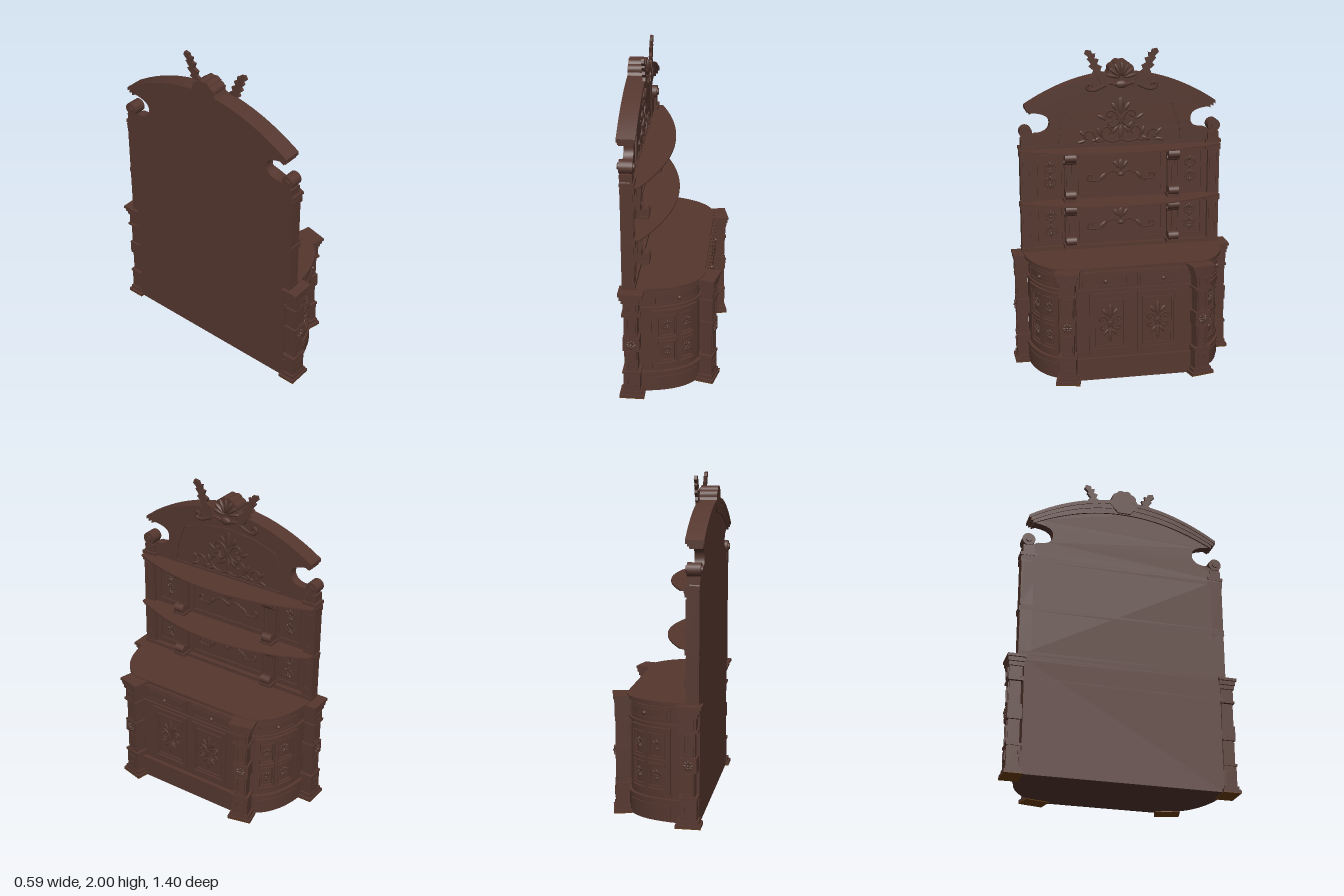
import * as THREE from 'three';
import { toCreasedNormals } from 'three/addons/utils/BufferGeometryUtils.js';

const wood = new THREE.MeshStandardMaterial({ color: 0x55372f });
wood.name = 'darkWood';
const footWood = new THREE.MeshStandardMaterial({ color: 0x6b3f08 });
footWood.name = 'amberWood';

// Built facing local +z (x across, y up); the finished group is turned to face +x.
function add(parent, name, geo, x = 0, y = 0, z = 0, mat = wood) {
  const m = new THREE.Mesh(geo, mat);
  m.name = name;
  m.position.set(x, y, z);
  parent.add(m);
  return m;
}
const box = (p, name, w, h, d, x, y, z, mat) => add(p, name, new THREE.BoxGeometry(w, h, d), x, y, z, mat);
const group = (p, name, x = 0, y = 0, z = 0, ry = 0) => {
  const g = new THREE.Group();
  g.name = name;
  g.position.set(x, y, z);
  g.rotation.y = ry;
  p.add(g);
  return g;
};
const shapeOf = pts => new THREE.Shape(pts.map(p => new THREE.Vector2(p[0], p[1])));
const extrude = (shape, depth) =>
  toCreasedNormals(new THREE.ExtrudeGeometry(shape, { depth, bevelEnabled: false, curveSegments: 14 }), 0.5);
const slab = (p, name, pts, z0, z1) => add(p, name, extrude(shapeOf(pts), z1 - z0), 0, 0, z0);
// plan outline of [x, z] points raised from y0 to y1
const plan = (p, name, pts, y0, y1) =>
  add(p, name, extrude(shapeOf(pts.map(([x, z]) => [x, -z])), y1 - y0).rotateX(-Math.PI / 2), 0, y0, 0);
function frame(p, name, w, h, t, d, x, y, z) {
  const rect = (a, b) => [[-a, -b], [a, -b], [a, b], [-a, b]];
  const s = shapeOf(rect(w / 2, h / 2));
  s.holes.push(shapeOf(rect(w / 2 - t, h / 2 - t)));
  return add(p, name, extrude(s, d), x, y, z);
}

// --- carved ornament ---
function tubes(p, pts, r) {
  for (const s of [1, -1]) {
    const c = new THREE.CatmullRomCurve3(pts.map(([x, y]) => new THREE.Vector3(s * x, y, 0)));
    add(p, 'carvedScroll', new THREE.TubeGeometry(c, 22, r, 5));
  }
}
function leaf(p, x, y, w, h, rot = 0, d = 0.012) {
  const m = add(p, 'carvedLeaf', new THREE.SphereGeometry(0.5, 8, 6), x, y, 0);
  m.scale.set(w, h, d);
  m.rotation.z = rot;
}
function spiral(cx, cy, r, a0, dir) {
  return Array.from({ length: 8 }, (_, i) => {
    const a = a0 + dir * i * 0.75, q = r * (1 - i * 0.1);
    return [cx + q * Math.cos(a), cy + q * Math.sin(a)];
  });
}
function fleur(p, w, h, x, y, z, ry = 0) {
  const g = group(p, 'fleurOrnament', x, y, z, ry), r = Math.min(w, h) * 0.04;
  leaf(g, 0, h * 0.3, w * 0.2, h * 0.4);
  leaf(g, 0, -h * 0.32, w * 0.16, h * 0.36);
  leaf(g, 0, 0, w * 0.3, h * 0.1);
  for (const s of [1, -1]) {
    leaf(g, s * w * 0.2, h * 0.27, w * 0.14, h * 0.22, -s * 0.6);
    leaf(g, s * w * 0.18, -h * 0.25, w * 0.12, h * 0.2, s * 0.6);
  }
  tubes(g, [[0, -h * 0.1], [w * 0.15, h * 0.12], ...spiral(w * 0.34, h * 0.1, w * 0.14, 2.2, -1)], r);
  tubes(g, [[0, h * 0.05], [w * 0.14, -h * 0.14], ...spiral(w * 0.32, -h * 0.1, w * 0.13, -2.2, 1)], r);
  return g;
}
function swag(p, y, z) {
  const g = group(p, 'swagOrnament', 0, y, z);
  tubes(g, [[0, -0.03], [0.05, -0.005], [0.09, -0.02], [0.13, -0.06], [0.18, -0.065], ...spiral(0.195, -0.04, 0.024, -0.9, 1)], 0.006);
  leaf(g, 0, 0.035, 0.035, 0.07);
  leaf(g, 0, -0.03, 0.05, 0.025);
  for (const s of [1, -1]) {
    leaf(g, s * 0.028, 0.035, 0.026, 0.055, -s * 0.6);
    leaf(g, s * 0.12, -0.04, 0.025, 0.06, s * 0.8);
  }
}

// --- bowed cabinet outline ---
const v2 = (x, y) => new THREE.Vector2(x, y);
const bow = new THREE.CubicBezierCurve(v2(0.625, -0.16), v2(0.61, 0.02), v2(0.54, 0.15), v2(0.42, 0.19));
function bowPoint(t, off, side = 1) {
  const p = bow.getPoint(t), d = bow.getTangent(t);
  return [side * (p.x + d.y * off), p.y - d.x * off];
}
const bowLine = (t0, t1, off, side, n = 18) =>
  Array.from({ length: n + 1 }, (_, i) => bowPoint(t0 + (t1 - t0) * i / n, off, side));
function outline(off) {
  const r = bowLine(0, 1, off, 1), l = bowLine(0, 1, off, -1).reverse();
  return [[r[0][0], -0.27], ...r, ...l, [l[l.length - 1][0], -0.27]];
}
const band = (p, name, side, t0, t1, o0, o1, y0, y1) =>
  plan(p, name, [...bowLine(t0, t1, o1, side, 10), ...bowLine(t0, t1, o0, side, 10).reverse()], y0, y1);
function bowFrame(p, name, side, t0, t1, y0, y1, bt, by, o0, o1) {
  band(p, name, side, t0, t1, o0, o1, y0, y0 + by);
  band(p, name, side, t0, t1, o0, o1, y1 - by, y1);
  band(p, name, side, t0, t0 + bt, o0, o1, y0 + by, y1 - by);
  band(p, name, side, t1 - bt, t1, o0, o1, y0 + by, y1 - by);
}

// Corner post, carved on its +z face
function post(p, x, z, ry) {
  const g = group(p, 'cornerPost', x, 0, z, ry);
  box(g, 'footPad', 0.15, 0.004, 0.11, 0, 0.002, 0, footWood);
  const tiers = [[0.15, 0.11, 0.004, 0.022], [0.125, 0.092, 0.022, 0.045], [0.1, 0.08, 0.045, 0.17],
    [0.112, 0.088, 0.17, 0.185], [0.076, 0.068, 0.185, 0.57], [0.1, 0.084, 0.33, 0.42], [0.112, 0.088, 0.565, 0.58],
    [0.09, 0.078, 0.58, 0.655], [0.11, 0.09, 0.655, 0.68], [0.13, 0.1, 0.68, 0.705], [0.15, 0.11, 0.705, 0.722]];
  for (const [w, d, y0, y1] of tiers) box(g, 'postTier', w, y1 - y0, d, 0, (y0 + y1) / 2, 0);
  for (const y of [0.115, 0.618]) frame(g, 'postSquare', 0.06, 0.06, 0.012, 0.008, 0, y, 0.038);
  for (const [y, h] of [[0.258, 0.13], [0.495, 0.13]]) frame(g, 'postPanel', 0.06, h, 0.01, 0.008, 0, y, 0.033);
  const r = group(g, 'postRosette', 0, 0.375, 0.045);
  for (let i = 0; i < 8; i++) leaf(r, 0.02 * Math.cos(i * Math.PI / 4), 0.02 * Math.sin(i * Math.PI / 4), 0.014, 0.024, i * Math.PI / 4 - Math.PI / 2);
  leaf(r, 0, 0, 0.02, 0.02, 0, 0.025);
}
const knob = (p, x, y, z) => add(p, 'knob', new THREE.SphereGeometry(0.013, 10, 8), x, y, z);
const roll = (p, name, r, len, x, y, z, axis = 'x') => {
  const geo = new THREE.CylinderGeometry(r, r, len, 18);
  return add(p, name, axis === 'x' ? geo.rotateZ(Math.PI / 2) : geo.rotateX(Math.PI / 2), x, y, z);
};

function buildBase(g) {
  plan(g, 'cabinetBody', outline(-0.025), 0.006, 0.7);
  plan(g, 'plinth', outline(-0.01), 0.004, 0.12);
  plan(g, 'plinthMoulding', outline(-0.003), 0.12, 0.14);
  plan(g, 'drawerMoulding', outline(-0.008), 0.578, 0.592);
  plan(g, 'counterMoulding', outline(-0.008), 0.695, 0.71);
  plan(g, 'countertop', outline(0.008), 0.708, 0.728);
  // straight front with two doors and two drawers
  box(g, 'frontPlinth', 0.72, 0.12, 0.06, 0, 0.064, 0.195);
  box(g, 'frontPlinthMoulding', 0.72, 0.022, 0.064, 0, 0.135, 0.197);
  box(g, 'frontFace', 0.72, 0.56, 0.05, 0, 0.42, 0.18);
  box(g, 'frontRail', 0.72, 0.014, 0.055, 0, 0.585, 0.19);
  for (const s of [1, -1]) {
    post(g, s * 0.415, 0.225, s * 0.235);
    post(g, s * 0.645, -0.215, s * Math.PI / 2);
    frame(g, 'doorFrame', 0.26, 0.39, 0.028, 0.014, s * 0.15, 0.37, 0.203);
    frame(g, 'doorMoulding', 0.19, 0.31, 0.01, 0.012, s * 0.15, 0.37, 0.203);
    fleur(g, 0.15, 0.25, s * 0.15, 0.37, 0.208);
    box(g, 'drawerFront', 0.32, 0.09, 0.012, s * 0.18, 0.647, 0.207);
    frame(g, 'drawerMoulding', 0.28, 0.062, 0.007, 0.006, s * 0.18, 0.647, 0.212);
    knob(g, s * 0.18, 0.647, 0.225);
    // bowed side with glazed-style door and drawer
    const t0 = 0.12, t1 = 0.85;
    band(g, 'sidePlinthPanel', s, t0, t1, -0.03, -0.004, 0.03, 0.105);
    bowFrame(g, 'sideDoorFrame', s, t0, t1, 0.165, 0.565, 0.07, 0.03, -0.03, -0.008);
    const tm = (t0 + t1) / 2;
    band(g, 'sideDoorStile', s, tm - 0.025, tm + 0.025, -0.03, -0.01, 0.19, 0.54);
    band(g, 'sideDoorRail', s, t0 + 0.06, t1 - 0.06, -0.03, -0.01, 0.356, 0.374);
    for (const [a, b] of [[t0 + 0.08, tm - 0.035], [tm + 0.035, t1 - 0.08]])
      for (const y of [0.203, 0.382]) {
        bowFrame(g, 'paneMoulding', s, a, b, y, y + 0.145, 0.025, 0.01, -0.03, -0.013);
        const t = (a + b) / 2, [x, z] = bowPoint(t, -0.022, s), d = bow.getTangent(t);
        fleur(g, 0.075, 0.07, x, y + 0.073, z, s * Math.atan2(d.y, -d.x));
      }
    band(g, 'sideDrawer', s, t0, t1, -0.03, -0.01, 0.602, 0.69);
    bowFrame(g, 'sideDrawerMoulding', s, t0 + 0.05, t1 - 0.05, 0.615, 0.677, 0.02, 0.007, -0.012, -0.004);
    const [kx, kz] = bowPoint(tm, 0, s);
    knob(g, kx, 0.647, kz);
  }
}

function shelf(p, y, front) {
  const pts = Array.from({ length: 25 }, (_, i) => {
    const u = 1 - i / 12;
    return [u * 0.635, front - (front + 0.16) * u * u];
  });
  plan(p, 'shelf', [[0.635, -0.25], ...pts, [-0.635, -0.25]], y, y + 0.009);
}

function buildUpper(g) {
  box(g, 'backPanel', 1.27, 0.68, 0.05, 0, 1.06, -0.245);
  shelf(g, 1.044, 0.004);
  shelf(g, 1.376, -0.02);
  box(g, 'upperFoot', 1.28, 0.025, 0.08, 0, 0.74, -0.23);
  for (const [y0, y1] of [[0.752, 1.044], [1.053, 1.376]]) {
    const h = y1 - y0, ym = (y0 + y1) / 2;
    box(g, 'upperRail', 1.28, 0.025, 0.07, 0, y1 - 0.013, -0.235);
    frame(g, 'centrePanel', 0.54, h - 0.05, 0.012, 0.012, 0, ym, -0.222);
    swag(g, ym + 0.015, -0.216);
    for (const s of [1, -1]) {
      box(g, 'endColumn', 0.075, h, 0.075, s * 0.6, ym, -0.2325);
      box(g, 'endColumnCap', 0.095, 0.035, 0.085, s * 0.595, y1 - 0.0175, -0.2275);
      frame(g, 'endColumnPanel', 0.05, h - 0.1, 0.008, 0.006, s * 0.6, ym, -0.196);
      frame(g, 'sidePanel', 0.16, h - 0.06, 0.01, 0.012, s * 0.45, ym, -0.222);
      for (const k of [1, -1]) fleur(g, 0.08, 0.085, s * 0.45, ym + k * 0.045, -0.217).rotation.z = k < 0 ? Math.PI : 0;
      // pilaster with scrolled bracket and foot
      box(g, 'pilaster', 0.065, h, 0.04, s * 0.33, ym, -0.21);
      box(g, 'pilasterCap', 0.095, 0.02, 0.1, s * 0.33, y1 - 0.01, -0.18);
      box(g, 'pilasterFoot', 0.085, 0.022, 0.09, s * 0.33, y0 + 0.006, -0.185);
      roll(g, 'bracketScroll', 0.03, 0.07, s * 0.33, y1 - 0.045, -0.165);
      roll(g, 'bracketCurl', 0.017, 0.08, s * 0.33, y1 - 0.075, -0.185);
      roll(g, 'footScroll', 0.028, 0.065, s * 0.33, y0 + 0.04, -0.163);
      for (const k of [-1, 0, 1]) box(g, 'pilasterReed', 0.01, h - 0.17, 0.01, s * 0.33 + k * 0.018, ym, -0.189);
    }
  }
}

// Curved cornice strip between two parabolas
function arch(p, name, half, top, kt, bot, kb, z0, z1) {
  const us = Array.from({ length: 31 }, (_, i) => half * (1 - i / 15));
  slab(p, name, [...us.map(u => [u, top - kt * u * u]), ...us.reverse().map(u => [u, bot - kb * u * u])], z0, z1);
}

function buildCrown(g) {
  // pediment board with a round notch at each end
  const s = new THREE.Shape();
  s.moveTo(-0.64, 1.385);
  s.lineTo(0.64, 1.385);
  s.lineTo(0.62, 1.44);
  s.lineTo(0.54, 1.48);
  s.bezierCurveTo(0.47, 1.475, 0.43, 1.52, 0.455, 1.575);
  s.quadraticCurveTo(0.48, 1.61, 0.57, 1.615);
  s.quadraticCurveTo(0.32, 1.8, 0, 1.8);
  s.quadraticCurveTo(-0.32, 1.8, -0.57, 1.615);
  s.quadraticCurveTo(-0.48, 1.61, -0.455, 1.575);
  s.bezierCurveTo(-0.43, 1.52, -0.47, 1.475, -0.54, 1.48);
  s.lineTo(-0.62, 1.44);
  add(g, 'pedimentBoard', extrude(s, 0.058), 0, 0, -0.27);
  arch(g, 'corniceTop', 0.6, 1.85, 0.53, 1.825, 0.52, -0.29, -0.18);
  arch(g, 'corniceMiddle', 0.59, 1.827, 0.52, 1.795, 0.5, -0.285, -0.19);
  arch(g, 'corniceLower', 0.575, 1.797, 0.5, 1.76, 0.46, -0.28, -0.2);
  // raised tympanum border and foliage
  const border = k => [[-0.395, 1.4], [0.395, 1.4], [0.385, 1.52], [0.335, 1.65], [0.18, 1.7], [0, 1.72],
    [-0.18, 1.7], [-0.335, 1.65], [-0.385, 1.52]].map(([x, y]) => [x * k, 1.55 + (y - 1.55) * k]);
  const b = shapeOf(border(1));
  b.holes.push(shapeOf(border(0.965)));
  add(g, 'tympanumBorder', extrude(b, 0.01), 0, 0, -0.214);
  fleur(g, 0.2, 0.28, 0, 1.56, -0.21);
  const f = group(g, 'tympanumFoliage', 0, 1.4, -0.21);
  tubes(f, [[0, 0.03], [0.05, 0.015], [0.1, 0.03], ...spiral(0.085, 0.08, 0.045, -0.8, 1)], 0.007);
  tubes(f, [[0.1, 0.03], [0.15, 0.02], ...spiral(0.21, 0.055, 0.045, 3.4, -1)], 0.007);
  for (const k of [1, -1]) {
    for (const [x, y, r] of [[0.06, 0.12, -0.7], [0.14, 0.08, -0.3], [0.16, 0.03, 1.2], [0.25, 0.02, 1.3], [0.24, 0.07, -0.8], [0.12, 0.17, -1]])
      leaf(f, k * x, y, 0.022, 0.06, k * r);
    // end scrolls
    roll(g, 'endScroll', 0.04, 0.08, k * 0.598, 1.495, -0.235, 'z');
    roll(g, 'endScrollEye', 0.02, 0.1, k * 0.598, 1.495, -0.235, 'z');
    box(g, 'endScrollBase', 0.07, 0.05, 0.075, k * 0.595, 1.43, -0.235);
    box(g, 'endBlock', 0.1, 0.02, 0.085, k * 0.595, 1.395, -0.23);
    // leafy horns
    slab(g, 'leafHorn', [[0.07, 1.76], [0.13, 1.79], [0.155, 1.835], [0.185, 1.85], [0.175, 1.87], [0.205, 1.895],
      [0.19, 1.91], [0.215, 1.94], [0.205, 1.95], [0.232, 1.975], [0.222, 1.998], [0.19, 1.992], [0.185, 1.972], [0.165, 1.975],
      [0.17, 1.945], [0.145, 1.94], [0.155, 1.91], [0.125, 1.895], [0.135, 1.87], [0.105, 1.85]].map(([x, y]) => [k * x, y]), -0.19, -0.172);
  }
  // central shell and volutes
  const shell = Array.from({ length: 49 }, (_, i) => {
    const a = -0.3 + i / 48 * (Math.PI + 0.6), r = 0.082 + 0.008 * Math.abs(Math.sin(i * Math.PI / 8));
    return [r * Math.cos(a), 1.835 + r * Math.sin(a) * 1.05];
  });
  slab(g, 'crestShell', [...shell, [-0.04, 1.765], [0.04, 1.765]], -0.29, -0.185);
  const c = group(g, 'crestCarving', 0, 1.79, -0.182);
  for (let i = -3; i <= 3; i++) leaf(c, 0.055 * Math.sin(i * 0.45), 0.03 + 0.055 * Math.cos(i * 0.45), 0.024, 0.09, -i * 0.45, 0.03);
  leaf(c, 0, -0.01, 0.08, 0.05, 0, 0.03);
  tubes(c, [[0.03, -0.01], [0.08, 0], [0.12, -0.02], [0.17, -0.04], ...spiral(0.2, -0.015, 0.025, -1.6, 1)], 0.011);
}

export function createModel() {
  const model = new THREE.Group();
  model.name = 'sideboard';
  const body = group(model, 'body', 0, 0, 0, Math.PI / 2);
  buildBase(group(body, 'baseCabinet'));
  buildUpper(group(body, 'upperShelves'));
  buildCrown(group(body, 'crown'));
  return model;
}
